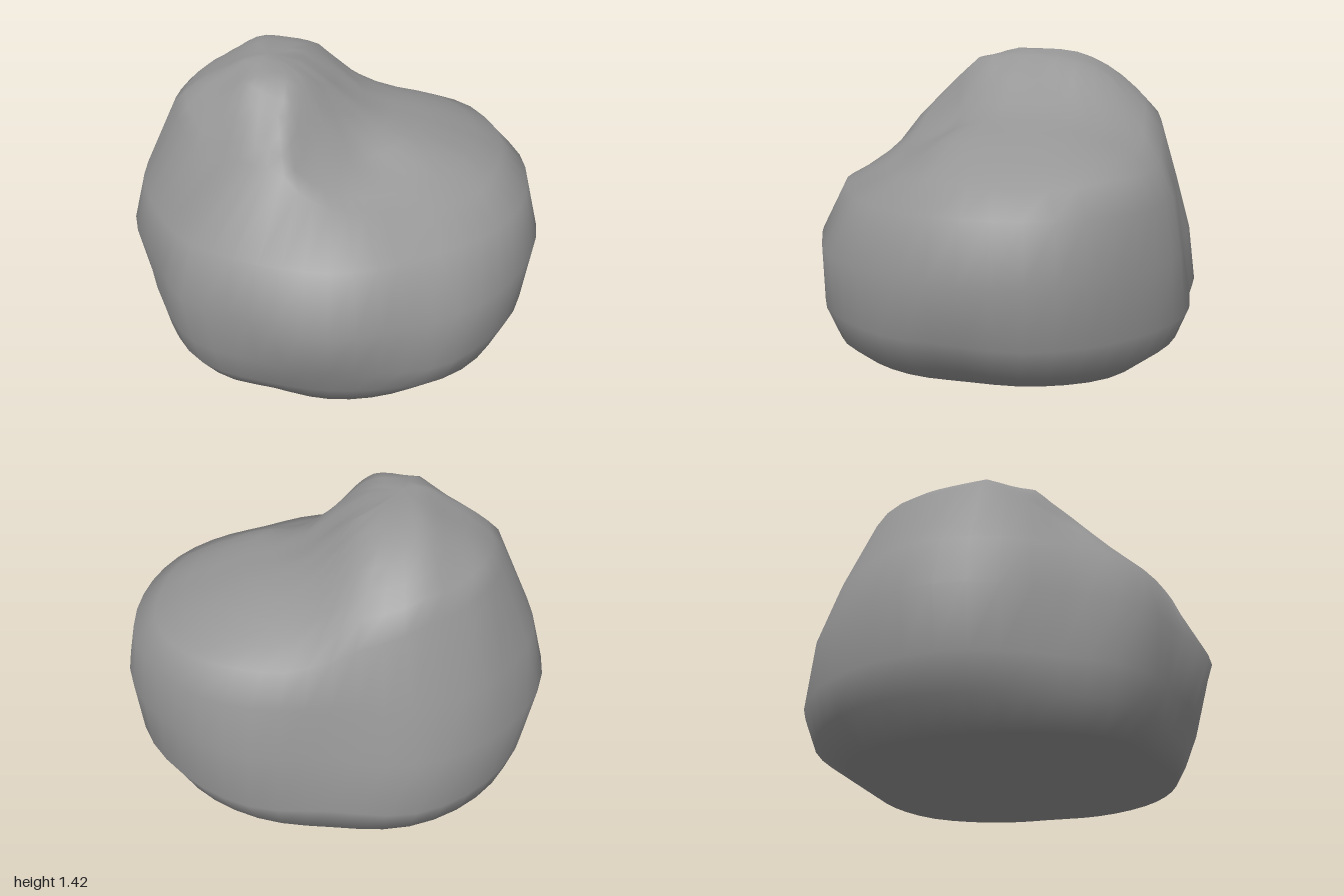
import * as THREE from 'three';
import { mergeVertices } from 'three/addons/utils/BufferGeometryUtils.js';

const SEGMENTS = 48;

// Horizontal cross-sections: height, slope along x, and 16 radii from +x towards +z
const sections = [
  { y: 0.03, slope: 0.025, r: [0.75, 0.76, 0.76, 0.74, 0.72, 0.7, 0.77, 0.77, 0.77, 0.8, 0.82, 0.76, 0.7, 0.75, 0.8, 0.78] },
  { y: 0.13, slope: 0, r: [0.87, 0.87, 0.86, 0.8, 0.77, 0.78, 0.85, 0.86, 0.9, 0.95, 0.95, 0.92, 0.86, 0.88, 0.9, 0.9] },
  { y: 0.28, slope: 0, r: [0.97, 0.94, 0.91, 0.86, 0.83, 0.83, 0.89, 0.89, 0.94, 0.99, 1.0, 0.98, 0.9, 0.95, 0.97, 0.99] },
  { y: 0.55, slope: 0, r: [1.0, 0.96, 0.93, 0.89, 0.92, 0.89, 0.91, 0.91, 1.0, 1.03, 1.0, 0.95, 0.86, 0.93, 0.965, 1.01] },
  { y: 0.8, slope: 0, r: [0.93, 0.88, 0.81, 0.78, 0.79, 0.8, 0.85, 0.87, 0.93, 0.96, 0.93, 0.87, 0.81, 0.88, 0.95, 0.97] },
];

// Radii where the sides turn over into the crown
const rim = [0.79, 0.72, 0.62, 0.55, 0.53, 0.53, 0.57, 0.67, 0.75, 0.79, 0.79, 0.77, 0.74, 0.79, 0.87, 0.87];

// Skyline from the high ridge down to the low shoulder
const skyline = [[-1, 0.95], [-0.65, 1.28], [-0.37, 1.43], [-0.07, 1.37], [0, 1.26], [0.2, 1.13], [0.45, 1.07], [0.7, 0.97], [1, 0.8]];

// Shallow hollows and bulges: centre, reach, depth (negative swells)
const hollows = [
  { at: [-0.42, 0.45, 0.78], reach: 0.17, depth: 0.025 },
  { at: [-0.65, 0.55, 0.62], reach: 0.16, depth: -0.02 },
  { at: [0.38, 0.85, 0.62], reach: 0.18, depth: 0.025 },
  { at: [0.15, 1.08, 0.2], reach: 0.16, depth: 0.03 },
  { at: [0.48, 0.3, 0.72], reach: 0.15, depth: -0.02 },
  { at: [0.92, 0.2, 0.05], reach: 0.18, depth: 0.03 },
  { at: [-0.8, 0.7, -0.5], reach: 0.15, depth: 0.03 },
  { at: [0.2, 0.6, -0.85], reach: 0.2, depth: 0.015 },
];

function radiusAt(r, angle) {
  const n = r.length;
  const t = (angle / (Math.PI * 2)) * n;
  const i = Math.floor(t);
  const f = t - i;
  const [a, b, c, d] = [-1, 0, 1, 2].map((k) => r[(i + k + n) % n]);
  return b + 0.5 * f * (c - a + f * (2 * a - 5 * b + 4 * c - d + f * (3 * (b - c) + d - a)));
}

function skylineAt(x) {
  let k = 0;
  while (k < skyline.length - 2 && x > skyline[k + 1][0]) k++;
  const [x0, y0] = skyline[k];
  const [x1, y1] = skyline[k + 1];
  return y0 + ((x - x0) / (x1 - x0)) * (y1 - y0);
}

const softSkyline = (x) => (skylineAt(x - 0.04) + skylineAt(x) + skylineAt(x + 0.04)) / 3;

// The ridge edge slants towards the front; the crown falls away to front, back and left corners
function topHeight(x, z) {
  const front = Math.max(0, z);
  const back = Math.max(0, -z);
  const h = Math.min(softSkyline(x), softSkyline(x + 0.35 * front));
  const high = THREE.MathUtils.clamp((h - 0.95) / 0.4, 0, 1);
  const frontDrop = 0.75 * Math.max(0, front - 0.17) * (0.5 + 0.5 * high);
  const backDrop = 1.1 * Math.max(0, back - 0.2) ** 2 * (0.3 + 0.7 * high);
  const cornerDrop = Math.max(0, -0.2 - x) * (1.5 * front + 0.2 * back);
  return h - frontDrop - backDrop - cornerDrop;
}

function carve(p) {
  const inward = new THREE.Vector3(0, 0.6, 0).sub(p).normalize();
  let depth = 0;
  for (const h of hollows) {
    const d = p.distanceTo(new THREE.Vector3(...h.at)) / h.reach;
    depth += h.depth * Math.exp(-d * d);
  }
  return p.addScaledVector(inward, depth);
}

function boulderGeometry() {
  const rings = [];
  const addRing = (place) => {
    const ring = [];
    for (let i = 0; i < SEGMENTS; i++) ring.push(place((i / SEGMENTS) * Math.PI * 2));
    rings.push(ring);
  };

  // Underside, almost flat
  for (const s of [0, 0.55]) {
    addRing((a) => {
      const r = radiusAt(sections[0].r, a) * s;
      return new THREE.Vector3(r * Math.cos(a), 0.01 + 0.02 * r * Math.cos(a), r * Math.sin(a));
    });
  }
  // Sides
  for (const s of sections) {
    addRing((a) => {
      const r = radiusAt(s.r, a);
      const x = r * Math.cos(a);
      return carve(new THREE.Vector3(x, s.y + s.slope * x, r * Math.sin(a)));
    });
  }
  // Crown, closing on the middle of the ridge
  for (const s of [1, 0.88, 0.76, 0.64, 0.52, 0.4, 0.27, 0.14, 0]) {
    addRing((a) => {
      const r = radiusAt(rim, a) * s;
      const x = r * Math.cos(a) - 0.3 * (1 - s);
      const z = r * Math.sin(a) - 0.05 * (1 - s);
      return carve(new THREE.Vector3(x, topHeight(x, z), z));
    });
  }

  const index = [];
  for (let j = 0; j < rings.length - 1; j++) {
    for (let i = 0; i < SEGMENTS; i++) {
      const n = (i + 1) % SEGMENTS;
      const a = j * SEGMENTS + i;
      const b = j * SEGMENTS + n;
      const c = a + SEGMENTS;
      const d = b + SEGMENTS;
      if (j > 0) index.push(a, c, b);
      if (j < rings.length - 2) index.push(b, c, d);
    }
  }
  const geometry = new THREE.BufferGeometry().setFromPoints(rings.flat());
  geometry.setIndex(index);
  const merged = mergeVertices(geometry, 1e-5);
  merged.computeVertexNormals();
  return merged;
}

export function createModel() {
  const group = new THREE.Group();
  group.name = 'rock';
  const boulder = new THREE.Mesh(boulderGeometry(), new THREE.MeshStandardMaterial({ color: 0x969696 }));
  boulder.name = 'boulder';
  group.add(boulder);
  return group;
}
